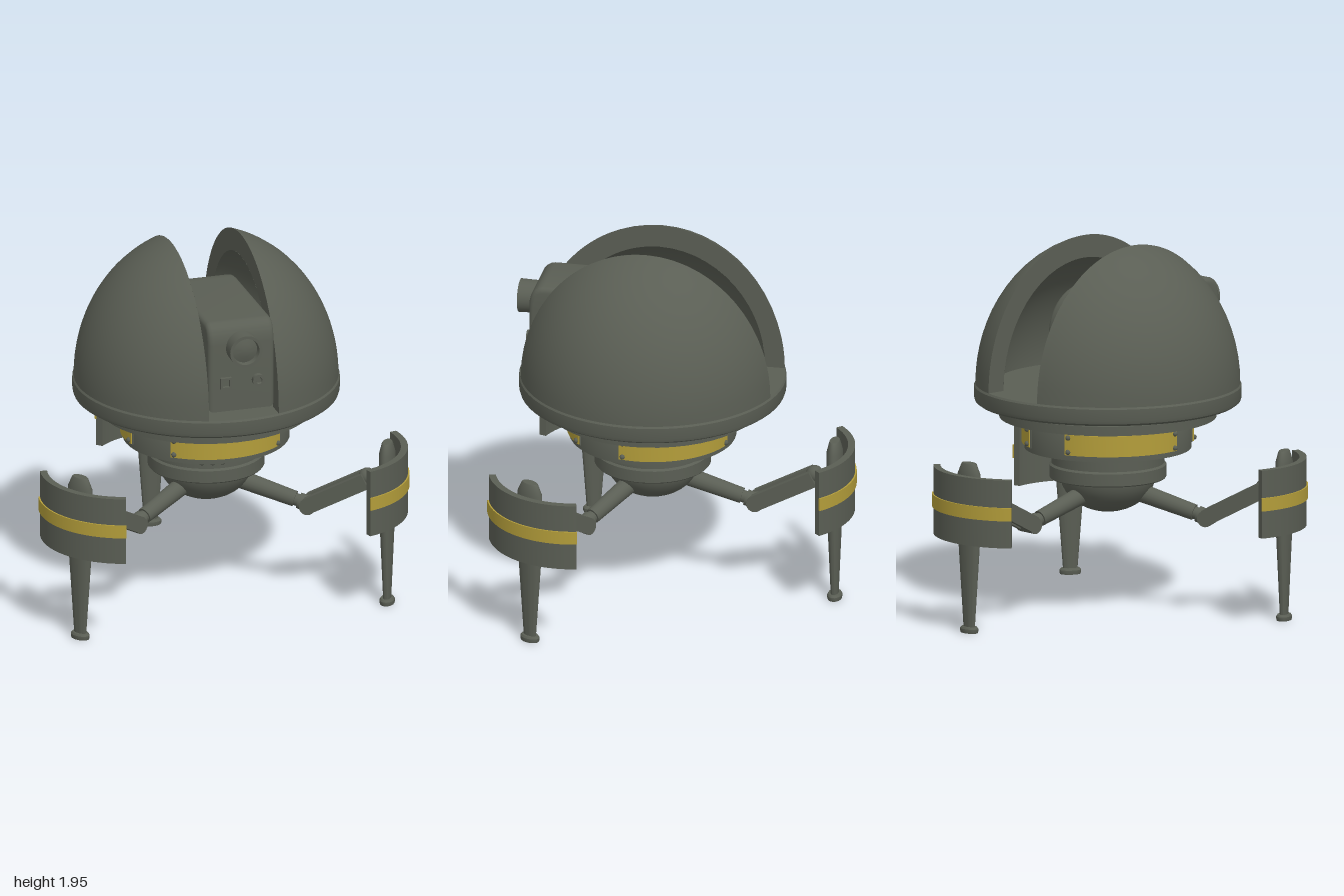
import * as THREE from 'three';
import { toCreasedNormals } from 'three/addons/utils/BufferGeometryUtils.js';
import { ParametricGeometry } from 'three/addons/geometries/ParametricGeometry.js';

const grey = new THREE.MeshStandardMaterial({ color: 0x5a5e54, side: THREE.DoubleSide });
grey.name = 'dark grey metal';
const yellow = new THREE.MeshStandardMaterial({ color: 0xb39d3a });
yellow.name = 'yellow stripe';

function add(parent, name, geo, mat = grey, x = 0, y = 0, z = 0) {
  const mesh = new THREE.Mesh(geo, mat);
  mesh.name = name;
  mesh.position.set(x, y, z);
  parent.add(mesh);
  return mesh;
}

// Turned part from [radius, height] pairs, bottom to top
function turned(points, segments = 48) {
  const profile = points.map(([r, y]) => new THREE.Vector2(r, y));
  return toCreasedNormals(new THREE.LatheGeometry(profile, segments), 0.6);
}

// Curved plate centred on +z, between two radii and two heights
function arcPlate(inner, outer, half, y0, y1) {
  const mid = -Math.PI / 2;
  const shape = new THREE.Shape();
  shape.absarc(0, 0, outer, mid - half, mid + half, false);
  shape.absarc(0, 0, inner, mid + half, mid - half, true);
  const geo = new THREE.ExtrudeGeometry(shape, { depth: y1 - y0, bevelEnabled: false, curveSegments: 20 });
  geo.rotateX(-Math.PI / 2).translate(0, y0, 0);
  return toCreasedNormals(geo, 0.5);
}

// Tapered round rod between two [z, y] points
function rod(parent, name, a, b, ra, rb) {
  const from = new THREE.Vector3(0, a[1], a[0]);
  const to = new THREE.Vector3(0, b[1], b[0]);
  const dir = to.clone().sub(from);
  const mesh = add(parent, name, new THREE.CylinderGeometry(rb, ra, dir.length(), 20));
  mesh.position.copy(from).add(to).multiplyScalar(0.5);
  mesh.quaternion.setFromUnitVectors(new THREE.Vector3(0, 1, 0), dir.normalize());
}

// Half of the split dome: outer skin, inner skin and the cut face at x = cut
function domeHalf() {
  const half = new THREE.Group();
  const cut = 0.19;
  const skin = (a, b, flip) => {
    const start = Math.asin(cut / a);
    const geo = new ParametricGeometry((u, v, p) => {
      if (flip) [u, v] = [v, u];
      const phi = start + (Math.PI / 2 - start) * u;
      const s = Math.cos(phi), t = Math.PI * v;
      p.set(a * Math.sin(phi), b * s * Math.sin(t), a * s * Math.cos(t));
    }, 28, 28);
    geo.computeVertexNormals();
    return geo;
  };
  const [a, b, ia, ib] = [0.69, 0.785, 0.59, 0.67];
  add(half, 'domeOuter', skin(a, b, false));
  add(half, 'domeInner', skin(ia, ib, true));
  const so = Math.sqrt(1 - (cut / a) ** 2), si = Math.sqrt(1 - (cut / ia) ** 2);
  const face = new THREE.Shape();
  face.absellipse(0, 0, a * so, b * so, 0, Math.PI, false);
  face.absellipse(0, 0, ia * si, ib * si, Math.PI, 0, true);
  const edge = new THREE.ShapeGeometry(face, 28).rotateY(-Math.PI / 2).translate(cut, 0, 0);
  add(half, 'domeEdge', edge);
  half.position.y = 1.2;
  return half;
}

// Camera head: side profile with a round back, extruded across x
function cameraHead() {
  const head = new THREE.Group();
  head.name = 'cameraHead';
  const e = 0.025;
  const s = new THREE.Shape();
  s.moveTo(0.13, 1.23 + e);
  s.lineTo(0.78 - e, 1.23 + e);
  s.lineTo(0.78 - e, 1.6);
  s.quadraticCurveTo(0.75, 1.71 - e, 0.70, 1.71 - e);
  s.lineTo(0.13, 1.71 - e);
  s.absarc(0.13, 1.47, 0.24 - e, Math.PI / 2, Math.PI * 1.5, false);
  const geo = new THREE.ExtrudeGeometry(s, {
    depth: 0.31, bevelThickness: e, bevelSize: e, bevelSegments: 3, curveSegments: 16,
  });
  geo.translate(0, 0, -0.155).rotateY(-Math.PI / 2);
  add(head, 'cameraBody', toCreasedNormals(geo, 0.6));

  // Lens barrel with a recessed glass
  const lens = turned([[0.085, 0], [0.088, 0.12], [0.072, 0.12], [0.068, 0.09], [0.035, 0.1], [0, 0.104]], 32);
  add(head, 'lens', lens.rotateX(Math.PI / 2), grey, 0, 1.58, 0.74);
  // Square sensor frame and round knob
  for (const d of [-1, 1]) {
    add(head, 'sensorFrame', new THREE.BoxGeometry(0.01, 0.06, 0.03), grey, -0.09 + d * 0.025, 1.39, 0.785);
    add(head, 'sensorFrame', new THREE.BoxGeometry(0.06, 0.01, 0.03), grey, -0.09, 1.39 + d * 0.025, 0.785);
  }
  const knob = turned([[0.033, 0], [0.033, 0.03], [0.018, 0.03], [0.014, 0.022], [0, 0.022]], 24);
  add(head, 'knob', knob.rotateX(Math.PI / 2), grey, 0.087, 1.39, 0.775);
  return head;
}

// One leg pointing to +z
function leg() {
  const g = new THREE.Group();
  g.name = 'leg';
  rod(g, 'thigh', [0.12, 0.645], [0.475, 0.54], 0.05, 0.042);
  rod(g, 'thighCollar', [0.47, 0.54], [0.5, 0.532], 0.033, 0.033);
  rod(g, 'kneeSocket', [0.495, 0.533], [0.545, 0.517], 0.043, 0.043);
  add(g, 'knee', new THREE.CylinderGeometry(0.043, 0.043, 0.11, 24).rotateZ(Math.PI / 2), grey, 0, 0.518, 0.55);

  // Twin rails of the forearm with rungs between them
  const arm = new THREE.Group();
  arm.name = 'forearm';
  arm.position.set(0, 0.605, 0.705);
  arm.rotation.x = -Math.atan2(0.17, 0.32);
  for (const side of [-1, 1]) {
    add(arm, 'rail', new THREE.BoxGeometry(0.036, 0.085, 0.35), grey, side * 0.04, 0, 0);
  }
  add(arm, 'piston', new THREE.CylinderGeometry(0.013, 0.013, 0.36, 12).rotateX(Math.PI / 2));
  for (let i = -3; i <= 3; i++) {
    add(arm, 'rung', new THREE.BoxGeometry(0.06, 0.035, 0.016), grey, 0, 0, i * 0.045);
  }
  g.add(arm);
  add(g, 'wristBall', new THREE.SphereGeometry(0.045, 20, 14), grey, 0, 0.7, 0.86);
  rod(g, 'wristRod', [0.86, 0.7], [0.96, 0.7], 0.024, 0.024);

  // Flattened tapering shin and foot
  const shin = add(g, 'shin', turned([[0, 0.02], [0.038, 0.02], [0.075, 0.5], [0.078, 0.84],
    [0.052, 0.895], [0.046, 0.9], [0, 0.9]], 28), grey, 0, 0, 0.967);
  shin.scale.z = 0.52;
  const foot = add(g, 'foot', turned([[0, 0], [0.054, 0], [0.057, 0.008], [0.057, 0.022],
    [0.048, 0.032], [0, 0.032]], 28), grey, 0, 0, 0.967);
  foot.scale.z = 0.68;

  // Curved shield with its stripe
  add(g, 'shield', arcPlate(0.405, 0.442, 0.76, 0.485, 0.845), grey, 0, 0, 0.625);
  add(g, 'shieldStripe', arcPlate(0.441, 0.45, 0.765, 0.63, 0.7), yellow, 0, 0, 0.625);
  return g;
}

export function createModel() {
  const model = new THREE.Group();
  model.name = 'tripodRobot';
  const body = new THREE.Group();
  body.name = 'body';
  body.position.z = 0.155;
  model.add(body);

  // Turned body stages, bottom to top
  const bowl = [];
  for (let i = 0; i <= 10; i++) {
    const t = (i / 10) * Math.PI / 2;
    bowl.push([0.25 * Math.sin(t), 0.72 - 0.2 * Math.cos(t)]);
  }
  add(body, 'bowl', turned(bowl));
  add(body, 'neckRing', turned([[0, 0.7], [0.3, 0.7], [0.305, 0.706], [0.305, 0.77], [0.295, 0.78],
    [0.295, 0.87]]));
  add(body, 'drum', turned([[0, 0.86], [0.436, 0.86], [0.436, 1.02], [0.43, 1.03], [0.43, 1.11]]));
  add(body, 'collarDisc', turned([[0.4, 1.025], [0.567, 1.025], [0.567, 1.075], [0.4, 1.075]]));
  add(body, 'rim', turned([[0, 1.1], [0.675, 1.1], [0.692, 1.112], [0.697, 1.13], [0.697, 1.19],
    [0.69, 1.2], [0, 1.2]], 64));

  // Row of round vents on the neck
  for (let i = -2; i <= 2; i++) {
    const x = i * 0.053;
    add(body, 'vent', new THREE.SphereGeometry(0.022, 14, 10), grey, x, 0.82, Math.sqrt(0.295 ** 2 - x * x) - 0.008);
  }

  // Three yellow bands with rivets at their ends
  for (let k = 0; k < 3; k++) {
    const band = new THREE.Group();
    band.name = 'drumBand';
    band.rotation.y = k * Math.PI * 2 / 3;
    add(band, 'stripe', arcPlate(0.44, 0.449, 0.73, 0.89, 1.0), yellow);
    add(band, 'stripeBacking', arcPlate(0.43, 0.441, 0.74, 0.885, 1.005));
    for (const side of [-1, 1]) for (const y of [0.907, 0.983]) {
      const a = side * 0.685;
      add(band, 'rivet', new THREE.SphereGeometry(0.014, 12, 8), grey, 0.45 * Math.sin(a), y, 0.45 * Math.cos(a));
    }
    body.add(band);
  }

  // Split dome
  for (const side of [-1, 1]) {
    const half = domeHalf();
    half.name = side > 0 ? 'leftDome' : 'rightDome';
    half.scale.x = side;
    body.add(half);
  }

  // Three legs
  for (const angle of [Math.PI / 3, -Math.PI / 3, Math.PI]) {
    const l = leg();
    l.rotation.y = angle;
    body.add(l);
  }

  model.add(cameraHead());
  return model;
}
